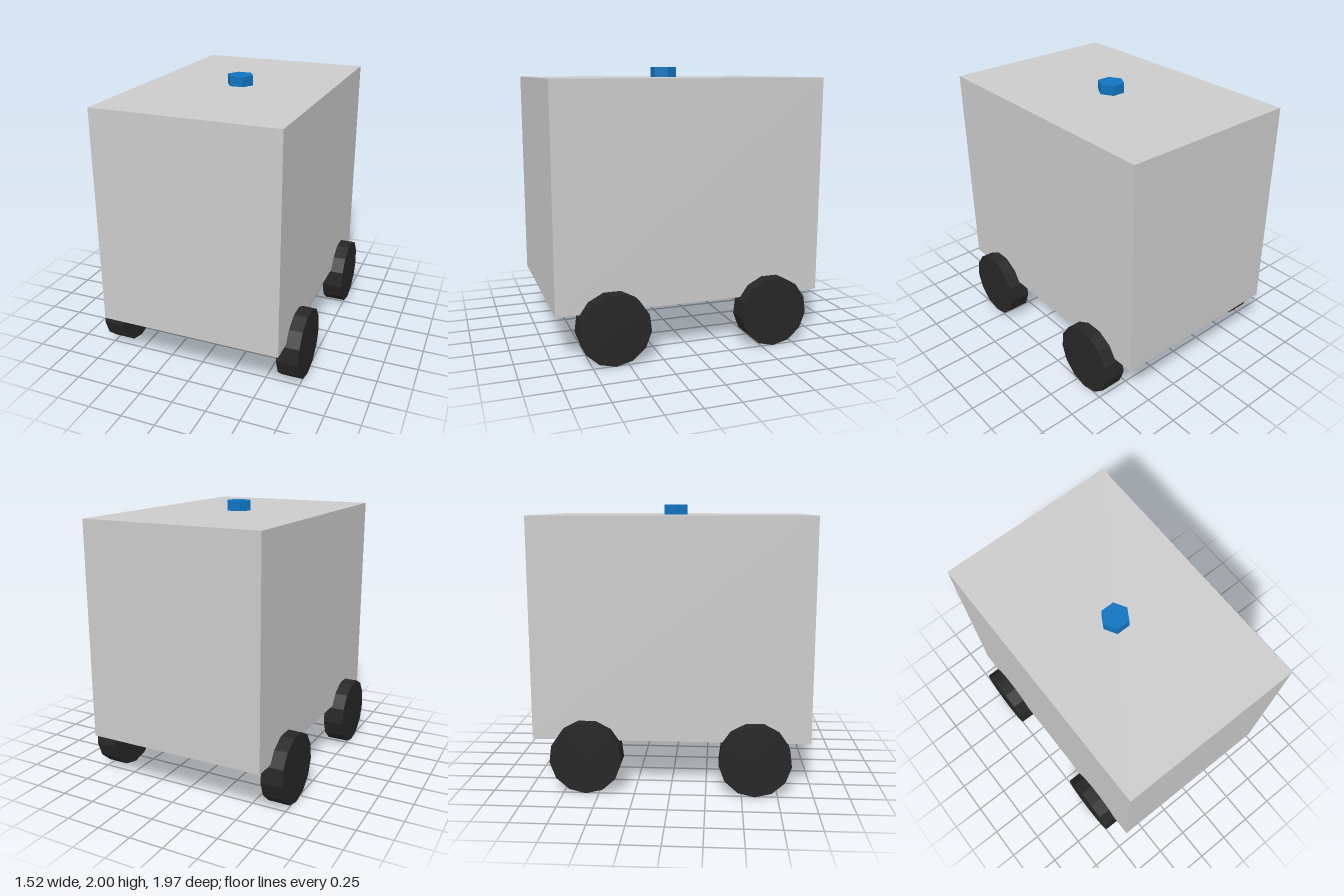
import * as THREE from 'three';

const mat = (color) => new THREE.MeshStandardMaterial({ color, flatShading: true });

export function createModel() {
  const model = new THREE.Group();
  model.name = 'boxCart';

  const add = (name, geometry, material, x, y, z) => {
    const mesh = new THREE.Mesh(geometry, material);
    mesh.name = name;
    mesh.position.set(x, y, z);
    model.add(mesh);
  };

  // Box body
  const bottom = 0.36, top = 1.928;
  add('body', new THREE.BoxGeometry(1.328, top - bottom, 1.966), mat(0xcccccc), 0, (top + bottom) / 2, 0);

  // Hexagonal beacon on the roof, corners pointing left and right
  const beacon = new THREE.CylinderGeometry(0.098, 0.098, 2 - top, 6, 1, false, Math.PI / 2);
  add('roofBeacon', beacon, mat(0x1074c0), 0, (2 + top) / 2, 0);

  // Four 13-sided wheels, each with one corner touching the ground
  const radius = 0.254;
  const wheel = new THREE.CylinderGeometry(radius, radius, 0.159, 13);
  wheel.rotateZ(Math.PI / 2).rotateX(Math.PI / 2);
  const rubber = mat(0x272727);
  for (const [side, x] of [['Left', 0.683], ['Right', -0.683]]) {
    for (const [end, z] of [['front', 0.591], ['back', -0.591]]) {
      add(`${end}${side}Wheel`, wheel, rubber, x, radius, z);
    }
  }

  return model;
}
